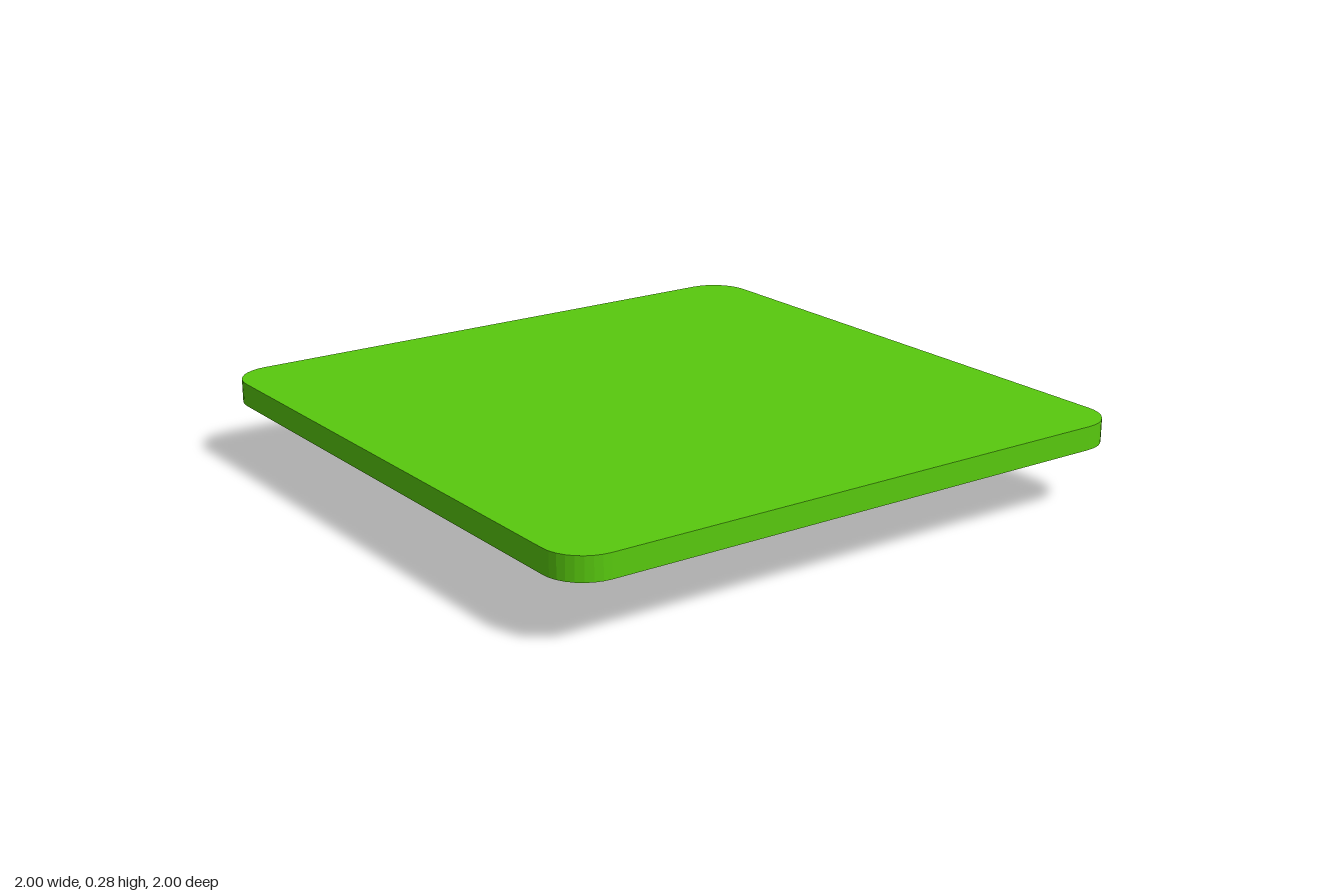
import * as THREE from 'three';

const material = new THREE.MeshStandardMaterial({ color: 0x58c90e, flatShading: true });

function part(name, geometry) {
  const mesh = new THREE.Mesh(geometry, material);
  mesh.name = name;
  return mesh;
}

// Side profile (distance from centre, height) extruded to a centred width
function bar(name, profile, width) {
  const shape = new THREE.Shape(profile.map(([r, y]) => new THREE.Vector2(r, y)));
  const geometry = new THREE.ExtrudeGeometry(shape, { depth: width, bevelEnabled: false });
  return part(name, geometry.translate(0, 0, -width / 2));
}

// Square slab with rounded corners
function makeTop() {
  const h = 1, r = 0.13;
  const shape = new THREE.Shape();
  for (let i = 0; i < 4; i++) {
    const a = i * Math.PI / 2;
    const cx = (i === 0 || i === 3 ? 1 : -1) * (h - r);
    const cy = (i < 2 ? 1 : -1) * (h - r);
    shape.absarc(cx, cy, r, a, a + Math.PI / 2, false);
  }
  const geometry = new THREE.ExtrudeGeometry(shape, { depth: 0.075, bevelEnabled: false, curveSegments: 4 });
  return part('tableTop', geometry.rotateX(-Math.PI / 2).translate(0, 0.2, 0));
}

// One diagonal arm with its bolt, hub block and inward claw
function makeArm() {
  const arm = new THREE.Group();
  arm.name = 'bracketArm';
  arm.add(bar('armBar', [[0.14, 0.15], [0.525, 0.15], [0.51, 0.2], [0.14, 0.2]], 0.165));
  arm.add(bar('hubBlock', [[0.13, 0.15], [0.12, 0.12], [0.13, 0.09], [0.155, 0.09], [0.19, 0.13], [0.19, 0.15]], 0.12));
  arm.add(bar('claw', [[0.09, 0.1], [0.034, 0.037], [0.058, 0], [0.15, 0.095]], 0.044));

  const stem = part('boltStem', new THREE.CylinderGeometry(0.02, 0.02, 0.025, 8));
  stem.position.set(0.453, 0.14, 0);
  const head = part('boltHead', new THREE.CylinderGeometry(0.03, 0.03, 0.016, 6));
  head.position.set(0.453, 0.131, 0);
  arm.add(stem, head);
  return arm;
}

export function createModel() {
  const model = new THREE.Group();
  model.name = 'tableTopWithBracket';
  model.add(makeTop());

  // Arms point at the four corners
  for (let i = 0; i < 4; i++) {
    const arm = makeArm();
    arm.rotation.y = Math.PI / 4 + i * Math.PI / 2;
    model.add(arm);
  }

  // Hollow hub ring joining the arms
  const ring = [[0.135, 0.107], [0.165, 0.107], [0.165, 0.187], [0.135, 0.187], [0.135, 0.107]];
  model.add(part('hubRing', new THREE.LatheGeometry(ring.map(([r, y]) => new THREE.Vector2(r, y)), 16)));
  return model;
}
